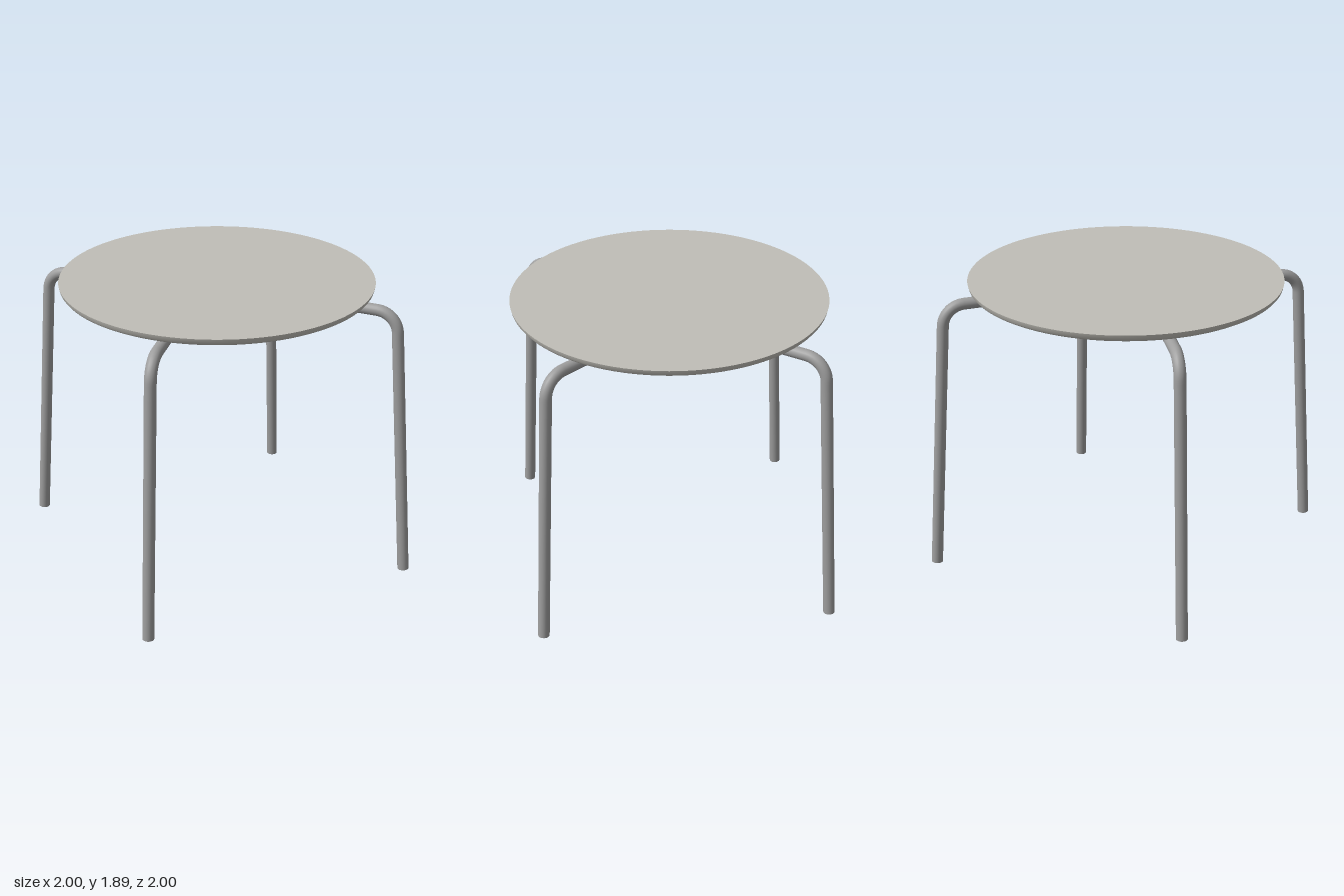
import * as THREE from 'three';
import { toCreasedNormals } from 'three/addons/utils/BufferGeometryUtils.js';

const V = (x, y, z) => new THREE.Vector3(x, y, z);

// Path of straight runs joined by rounded corners
function roundedPath(corners, trims) {
  const path = new THREE.CurvePath();
  let from = corners[0];
  for (let i = 1; i < corners.length - 1; i++) {
    const c = corners[i];
    const toPrev = corners[i - 1].clone().sub(c).normalize();
    const toNext = corners[i + 1].clone().sub(c).normalize();
    const t = trims[i - 1];
    // handle length that makes the cubic follow a circular arc
    const turn = Math.PI - toPrev.angleTo(toNext);
    const h = t * (1 - (4 / 3) * Math.tan(turn / 4) / Math.tan(turn / 2));
    const a = c.clone().addScaledVector(toPrev, t);
    const b = c.clone().addScaledVector(toNext, t);
    path.add(new THREE.LineCurve3(from, a));
    path.add(new THREE.CubicBezierCurve3(
      a, c.clone().addScaledVector(toPrev, h), c.clone().addScaledVector(toNext, h), b));
    from = b;
  }
  path.add(new THREE.LineCurve3(from, corners[corners.length - 1]));
  return path;
}

export function createModel() {
  const model = new THREE.Group();
  const seatMaterial = new THREE.MeshStandardMaterial({ name: 'warmGrey', color: 0xc0beb7 });
  const metal = new THREE.MeshStandardMaterial({ name: 'steelGrey', color: 0x9e9e9e });

  const add = (name, geometry, material, parent = model) => {
    const mesh = new THREE.Mesh(geometry, material);
    mesh.name = name;
    parent.add(mesh);
    return mesh;
  };

  // Round seat: sharp top edge, rounded underside edge
  const profile = [
    [0, 1.842], [0.95, 1.842], [0.967, 1.845], [0.983, 1.854],
    [0.994, 1.868], [1, 1.893], [0, 1.893],
  ].map(([x, y]) => new THREE.Vector2(x, y));
  add('seat', toCreasedNormals(new THREE.LatheGeometry(profile, 96), 0.6), seatMaterial);

  // Two bent tubes, each forming a front leg, a side rail and a back leg
  const r = 0.037, railY = 1.803;
  for (const s of [1, -1]) {
    const frame = new THREE.Group();
    frame.name = s > 0 ? 'leftLegFrame' : 'rightLegFrame';
    model.add(frame);

    const path = roundedPath([
      V(0.922 * s, 0.002, 0.922),
      V(0.825 * s, railY, 0.825),
      V(0.497 * s, railY, 0.43),
      V(0.497 * s, railY, -0.43),
      V(0.825 * s, railY, -0.825),
      V(0.922 * s, 0.002, -0.922),
    ], [0.13, 0.1, 0.1, 0.13]);
    add('legTube', new THREE.TubeGeometry(path, 240, r, 20, false), metal, frame);

    // Flat ends of the feet
    for (const t of [0, 1]) {
      const cap = add(t ? 'backFootEnd' : 'frontFootEnd', new THREE.CircleGeometry(r, 20), metal, frame);
      cap.position.copy(path.getPoint(t));
      const outward = path.getTangent(t).multiplyScalar(t ? 1 : -1);
      cap.quaternion.setFromUnitVectors(V(0, 0, 1), outward);
    }
  }

  // Two flat cross bars under the seat
  for (const s of [1, -1]) {
    const bar = add(s > 0 ? 'frontCrossBar' : 'backCrossBar',
      new THREE.BoxGeometry(0.98, 0.075, 0.06), metal);
    bar.position.set(0, 1.8045, 0.28 * s);
  }

  return model;
}
